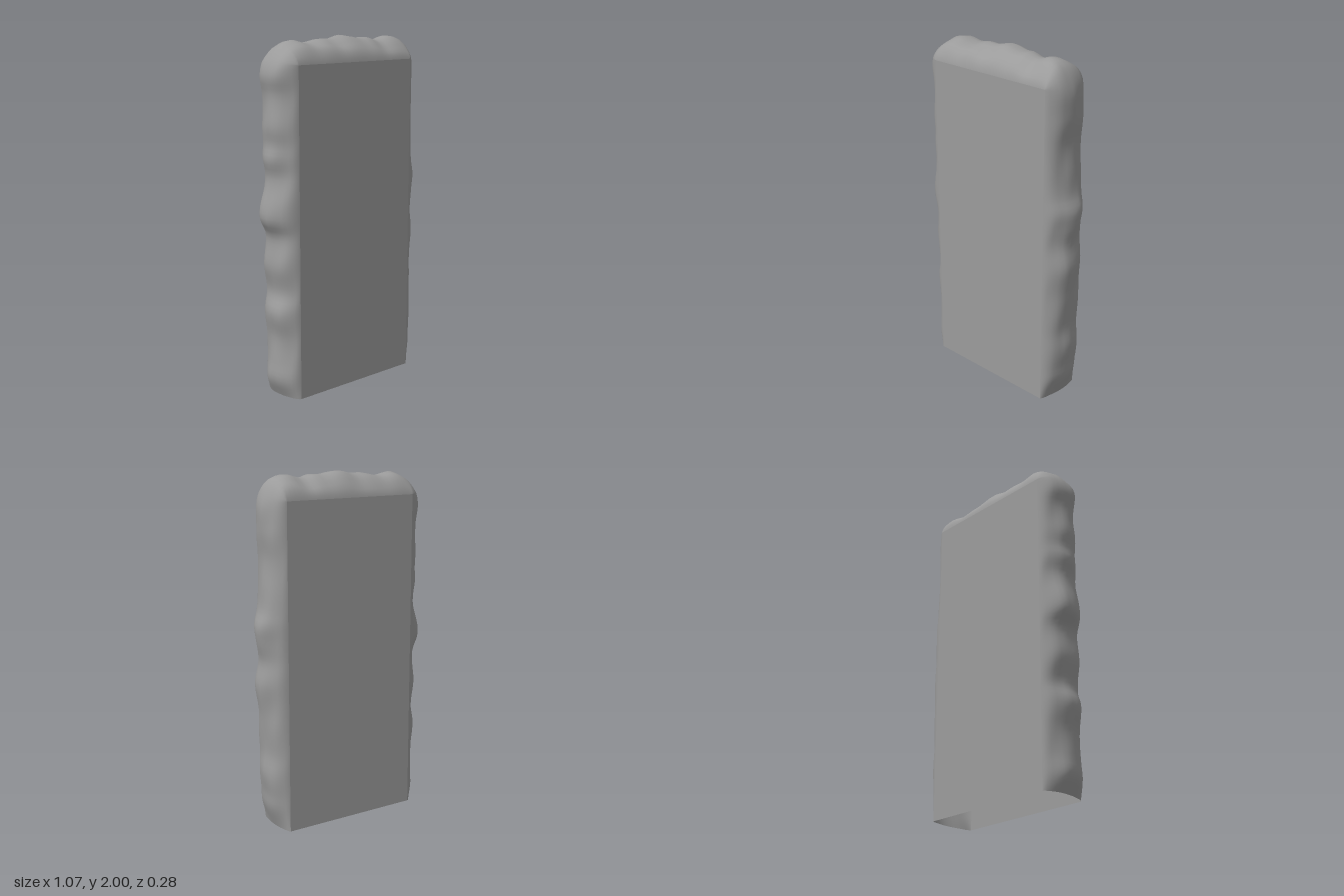
import * as THREE from 'three';

const HALF_W = 0.415, PANEL_H = 1.86, HALF_D = 0.142;
const material = new THREE.MeshStandardMaterial({ color: 0x9b9b9b, side: THREE.DoubleSide });

// Uneven outer outline of the slab, from bottom left over the top to bottom right
const outline = [
  [-0.46, 0], [-0.5, 0.1], [-0.495, 0.2], [-0.485, 0.35], [-0.51, 0.5], [-0.48, 0.6], [-0.5, 0.75],
  [-0.49, 0.92], [-0.535, 1.02], [-0.5, 1.2], [-0.495, 1.26], [-0.515, 1.35], [-0.5, 1.43],
  [-0.513, 1.53], [-0.5, 1.7], [-0.515, 1.8], [-0.49, 1.88], [-0.42, 1.96], [-0.35, 1.985],
  [-0.25, 1.965], [-0.15, 1.985], [-0.08, 1.985], [0.01, 2], [0.12, 1.98], [0.18, 1.985],
  [0.25, 1.97], [0.34, 1.99], [0.42, 1.96], [0.485, 1.84], [0.49, 1.7], [0.475, 1.55],
  [0.49, 1.4], [0.5, 1.26], [0.53, 1.17], [0.523, 1.08], [0.5, 0.97], [0.52, 0.83],
  [0.5, 0.65], [0.49, 0.45], [0.505, 0.33], [0.485, 0.2], [0.48, 0.12], [0.44, 0],
];

// Rough bulging rim: rounded sections between the front and back panel edges
function createRim() {
  const curve = new THREE.CatmullRomCurve3(outline.map(([x, y]) => new THREE.Vector3(x, y, 0)));
  const path = curve.getSpacedPoints(180);
  const sides = 14, positions = [], index = [];
  path.forEach((p, i) => {
    const ix = THREE.MathUtils.clamp(p.x, -HALF_W, HALF_W);
    const iy = Math.min(p.y, PANEL_H);
    for (let j = 0; j <= sides; j++) {
      const t = (j / sides) * Math.PI;
      // Soft dents that fade at the crest and at the panel edges
      const wave = Math.sin(i * 0.31 + t * 2.3) * Math.sin(i * 0.17 - t * 1.7 + 1);
      const round = Math.max(0, Math.sin(t)) ** 1.2;
      const bulge = round * (1 + 0.16 * wave * Math.abs(Math.sin(2 * t)));
      positions.push(ix + (p.x - ix) * bulge, iy + (p.y - iy) * bulge, HALF_D * Math.cos(t));
      if (i < path.length - 1 && j < sides) {
        const a = i * (sides + 1) + j, b = a + sides + 1;
        index.push(a, b, a + 1, b, b + 1, a + 1);
      }
    }
  });
  const geometry = new THREE.BufferGeometry();
  geometry.setAttribute('position', new THREE.Float32BufferAttribute(positions, 3));
  geometry.setIndex(index);
  geometry.computeVertexNormals();
  return geometry;
}

export function createModel() {
  const group = new THREE.Group();
  group.name = 'stoneSlab';

  const rim = new THREE.Mesh(createRim(), material);
  rim.name = 'roughRim';
  group.add(rim);

  // Flat front and back faces; the underside stays open
  for (const [name, side] of [['frontPanel', 1], ['backPanel', -1]]) {
    const panel = new THREE.Mesh(new THREE.PlaneGeometry(HALF_W * 2, PANEL_H), material);
    panel.name = name;
    panel.position.set(0, PANEL_H / 2, side * HALF_D);
    if (side < 0) panel.rotation.y = Math.PI;
    group.add(panel);
  }
  return group;
}
